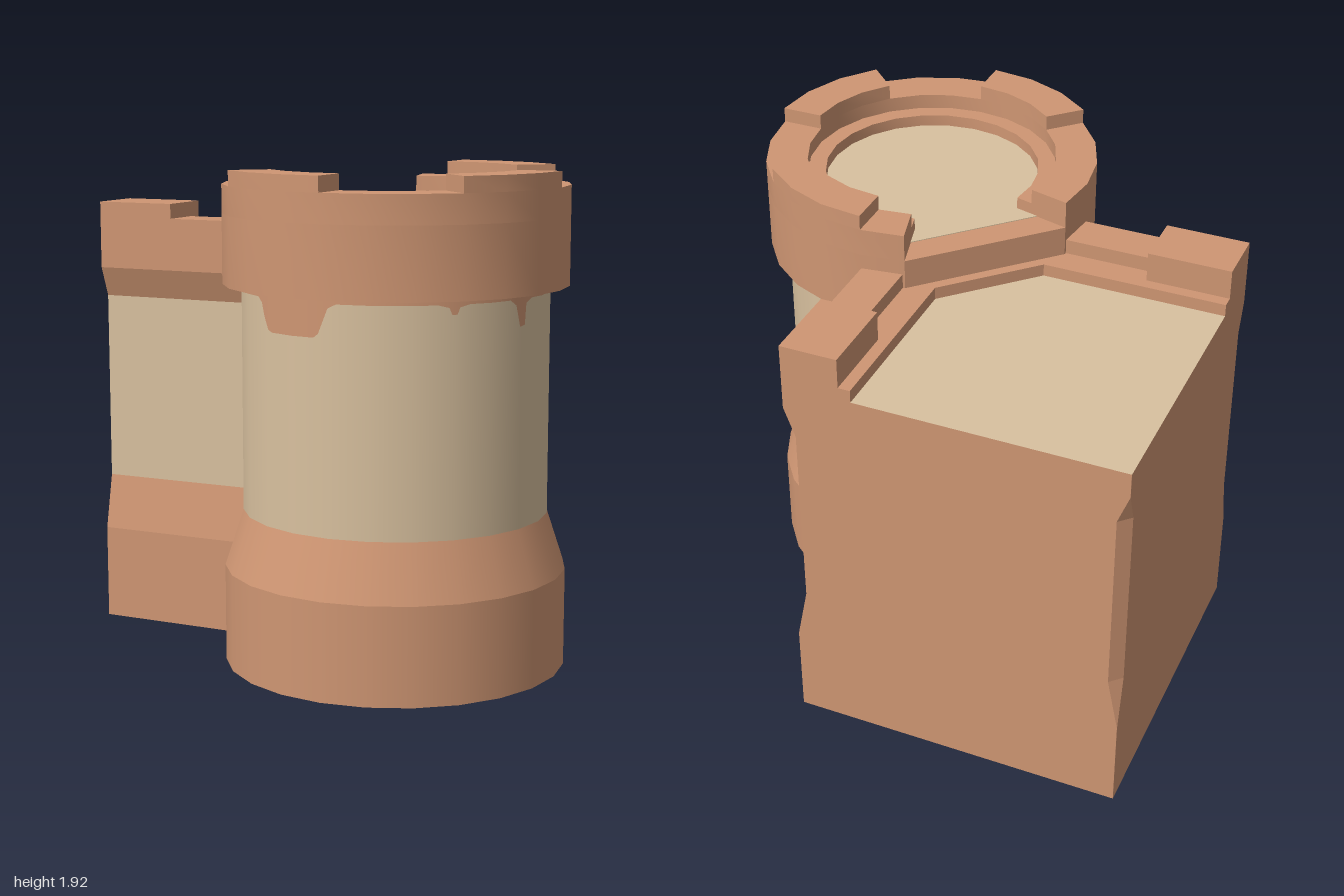
import * as THREE from 'three';
import { toCreasedNormals } from 'three/addons/utils/BufferGeometryUtils.js';

const C = 0.333; // tower axis in x and z, also the outer wall line
const R = 0.665; // tower outer radius
const RS = 0.592; // shaft radius
const RAD = Math.PI / 180;

// Point on the tower plan; angle runs from +x towards +z
const polar = (r, deg) => [C + r * Math.cos(deg * RAD), C + r * Math.sin(deg * RAD)];

// Points along an arc, one every 15 degrees
function arc(r, a0, a1) {
  const pts = [];
  const n = Math.round((a1 - a0) / 15);
  for (let i = 0; i <= n; i++) pts.push(polar(r, a0 + ((a1 - a0) * i) / n));
  return pts;
}

// Upright prism over an outline of [x, z] points
function slab(points, y0, y1) {
  const shape = new THREE.Shape(points.map(([x, z]) => new THREE.Vector2(x, -z)));
  const geo = new THREE.ExtrudeGeometry(shape, { depth: y1 - y0, bevelEnabled: false });
  geo.rotateX(-Math.PI / 2);
  geo.translate(0, y0, 0);
  return toCreasedNormals(geo, Math.PI / 6);
}

const ring = (r0, r1, a0, a1, y0, y1) =>
  slab([...arc(r1, a0, a1), ...arc(r0, a0, a1).reverse()], y0, y1);

function quadsToGeometry(quads) {
  const pos = [];
  for (const [a, b, c, d] of quads) pos.push(...a, ...b, ...c, ...a, ...c, ...d);
  const geo = new THREE.BufferGeometry();
  geo.setAttribute('position', new THREE.Float32BufferAttribute(pos, 3));
  geo.computeVertexNormals();
  return geo;
}

export function createModel() {
  const model = new THREE.Group();
  model.name = 'cornerTower';
  const brick = new THREE.MeshStandardMaterial({ color: 0xcf9673 });
  brick.name = 'terracotta';
  const sand = new THREE.MeshStandardMaterial({ color: 0xd9c19f });
  sand.name = 'sand';
  const paint = new THREE.MeshStandardMaterial({ color: 0xcf9673, side: THREE.DoubleSide });
  paint.name = 'terracottaPaint';

  const add = (name, geo, mat, parent = model) => {
    const mesh = new THREE.Mesh(geo, mat);
    mesh.name = name;
    parent.add(mesh);
    return mesh;
  };

  // Wall block: stacked outlines, waisted on the two outer walls and the far corner
  const IN = 0.045;
  const levels = [[0, 0], [0.38, 0], [0.6, IN], [1.36, IN], [1.48, 0], [1.58, 0]];
  const outline = ([y, inset]) => {
    const o = C - inset;
    const c = Math.max(inset, 0.0005);
    return [[-1, o], [o, o], [o, -1], [-1 + c, -1], [-1, -1 + c]].map(([x, z]) => [x, y, z]);
  };
  const brickQuads = [];
  const sandQuads = [];
  for (let i = 0; i < levels.length - 1; i++) {
    const lo = outline(levels[i]);
    const hi = outline(levels[i + 1]);
    for (let s = 0; s < 5; s++) {
      const t = (s + 1) % 5;
      const list = i === 2 && s < 2 ? sandQuads : brickQuads;
      list.push([lo[s], lo[t], hi[t], hi[s]]);
    }
  }
  brickQuads.push([[-1, 0, -1], [C, 0, -1], [C, 0, C], [-1, 0, C]]);
  sandQuads.push([[-1, 1.58, C], [C, 1.58, C], [C, 1.58, -1], [-1, 1.58, -1]]);
  add('wallBlock', quadsToGeometry(brickQuads), brick);
  add('wallPlasterAndTerrace', quadsToGeometry(sandQuads), sand);

  // Stepped ledge and parapet along both walls, crossing the corner diagonally
  const wallTop = (w, k) => [[-1, C], [-1, w], [k, w], [w, k], [w, -1], [C, -1], [C, C]];
  add('wallLedge', slab(wallTop(0.057, -0.263), 1.58, 1.63), brick);
  add('wallParapet', slab(wallTop(0.17, -0.31), 1.63, 1.69), brick);

  // One merlon at the outer end of each wall
  const merlon = [[-1, 0.105], [-0.667, 0.105], [-0.667, C], [-1, C]];
  add('frontWallMerlon', slab(merlon, 1.63, 1.75), brick);
  add('sideWallMerlon', slab(merlon.map(([x, z]) => [z, x]), 1.63, 1.75), brick);

  // Tower base, taper and shaft
  const drum = (name, rTop, rBottom, y0, y1, mat, open) => {
    const geo = new THREE.CylinderGeometry(rTop, rBottom, y1 - y0, 24, 1, open);
    geo.translate(C, (y0 + y1) / 2, C);
    add(name, geo, mat);
  };
  drum('towerBase', R, R, 0, 0.38, brick, false);
  drum('towerTaper', RS, R, 0.38, 0.6, brick, true);
  drum('towerShaft', RS, RS, 0.6, 1.48, sand, true);

  // Painted band with drips at the top of the shaft: [angle, lower edge]
  const edge = [
    [-100, 1.46], [-51, 1.46], [-47, 1.45], [-46, 1.425], [-44, 1.425], [-43, 1.45], [-39, 1.46],
    [8, 1.46], [12, 1.445], [13, 1.365], [16, 1.36], [18, 1.44], [21, 1.46],
    [39, 1.46], [43, 1.45], [44, 1.425], [46, 1.425], [47, 1.45], [51, 1.46],
    [87, 1.46], [90, 1.445], [94, 1.35], [96, 1.335], [116, 1.335], [118, 1.345],
    [122, 1.44], [125, 1.46], [200, 1.46],
  ];
  const pos = [];
  const nor = [];
  const idx = [];
  let k = 0;
  for (let a = -100; a <= 200; a++) {
    while (k < edge.length - 2 && a > edge[k + 1][0]) k++;
    const [[a0, y0], [a1, y1]] = [edge[k], edge[k + 1]];
    const low = y0 + ((y1 - y0) * (a - a0)) / (a1 - a0);
    // follow the flat facets of the shaft
    const off = ((a + 360) % 15) - 7.5;
    const r = ((RS + 0.003) * Math.cos(7.5 * RAD)) / Math.cos(off * RAD);
    const [x, z] = polar(r, a);
    pos.push(x, 1.48, z, x, low, z);
    for (let j = 0; j < 2; j++) nor.push(Math.cos(a * RAD), 0, Math.sin(a * RAD));
    const n = pos.length / 3;
    if (n > 2) idx.push(n - 4, n - 2, n - 3, n - 2, n - 1, n - 3);
  }
  const band = new THREE.BufferGeometry();
  band.setAttribute('position', new THREE.Float32BufferAttribute(pos, 3));
  band.setAttribute('normal', new THREE.Float32BufferAttribute(nor, 3));
  band.setIndex(idx);
  add('paintDrips', band, paint);

  // Tower head, open towards the terrace between 195 and 255 degrees
  const A0 = -105;
  const A1 = 195;
  const head = new THREE.Group();
  head.name = 'towerHead';
  model.add(head);
  add('headDrum', slab(arc(R, A0, A1), 1.48, 1.75), brick, head);
  add('headParapet', ring(0.5, R, A0, A1, 1.75, 1.86), brick, head);
  add('headLedge', ring(0.43, 0.5, A0, A1, 1.75, 1.8), brick, head);
  for (const a of [-90, 0, 90]) {
    add('headMerlon', ring(0.5, R, a, a + 45, 1.86, 1.92), brick, head);
  }

  // Sand floor, squared off at the opening
  const rGap = 0.457 / Math.cos(30 * RAD);
  const floor = [polar(rGap, A0), ...arc(0.43, A0, A1), polar(rGap, A1)];
  add('headFloor', slab(floor, 1.748, 1.753), sand, head);

  return model;
}
